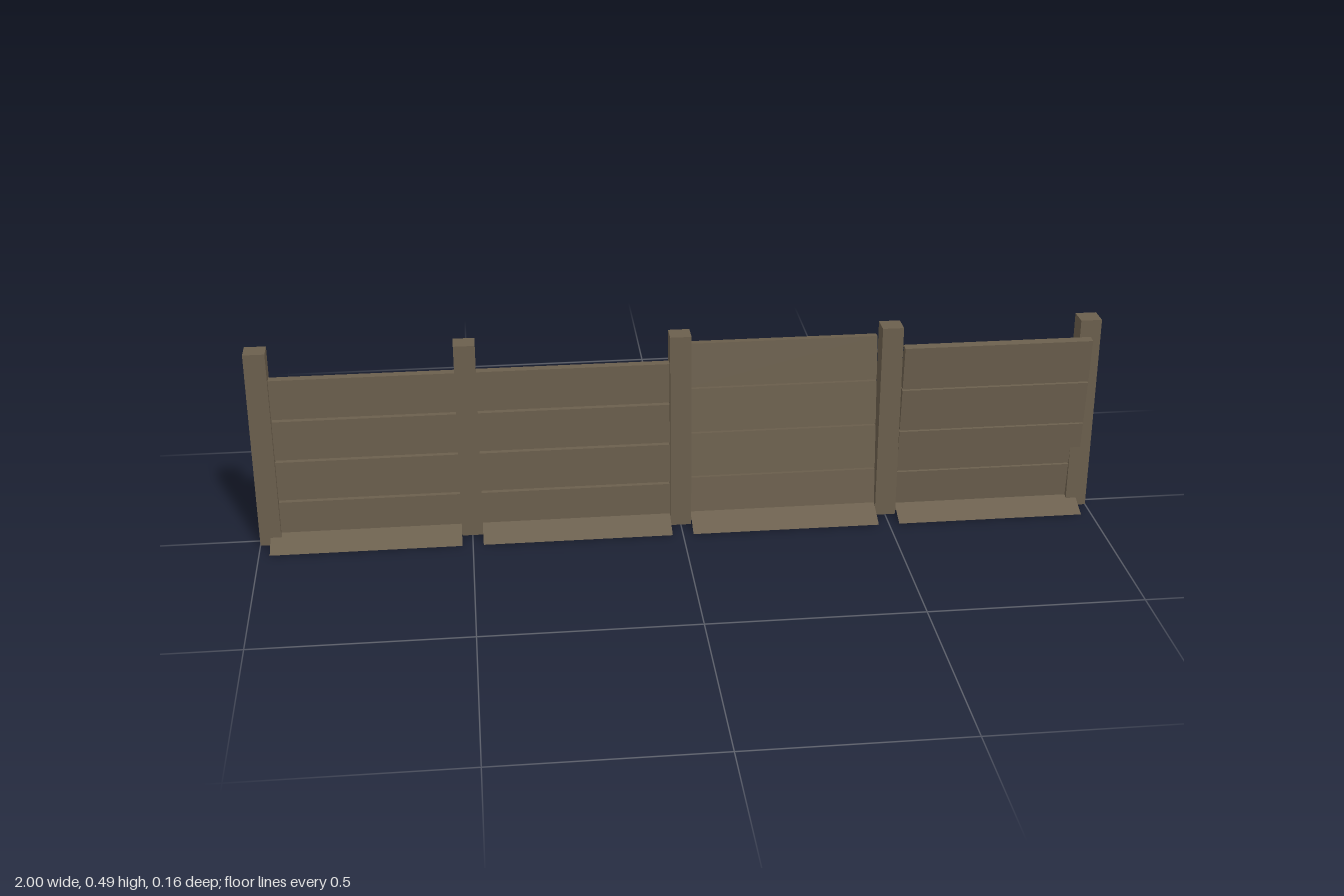
import * as THREE from 'three';

const wood = new THREE.MeshStandardMaterial({ color: 0x6b5f4d, side: THREE.DoubleSide });
wood.name = 'weathered wood';

const POST_HEIGHT = 0.488;
const BAY_LENGTH = 0.45;
const BOARD_THICKNESS = 0.0215;
const BOARDS_PER_BAY = 4;

function box(name, w, h, d, x, y, z) {
  const mesh = new THREE.Mesh(new THREE.BoxGeometry(w, h, d), wood);
  mesh.name = name;
  mesh.position.set(x, y, z);
  return mesh;
}

// Stack of horizontal boards, leaning about its foot
function boardPanel(x, pitch, gap, lean) {
  const panel = new THREE.Group();
  panel.name = 'boardPanel';
  for (let i = 0; i < BOARDS_PER_BAY; i++) {
    const h = pitch - gap;
    panel.add(box('board', BAY_LENGTH, h, BOARD_THICKNESS, 0, i * pitch + gap + h / 2, 0));
  }
  panel.position.x = x;
  panel.rotation.x = lean;
  return panel;
}

// Thin sloping sheet from the ridge under the boards down to the ground
function skirt(name, x, zEdge) {
  const ridgeY = 0.03, ridgeZ = -0.003, h = BAY_LENGTH / 2;
  const a = [-h, ridgeY, ridgeZ], b = [h, ridgeY, ridgeZ];
  const c = [h, 0, zEdge], d = [-h, 0, zEdge];
  const corners = zEdge > 0 ? [a, d, c, a, c, b] : [a, b, c, a, c, d];
  const geometry = new THREE.BufferGeometry();
  geometry.setAttribute('position', new THREE.Float32BufferAttribute(corners.flat(), 3));
  geometry.computeVertexNormals();
  const mesh = new THREE.Mesh(geometry, wood);
  mesh.name = name;
  mesh.position.x = x;
  return mesh;
}

export function createModel() {
  const fence = new THREE.Group();
  fence.name = 'fence';

  // Five square posts
  for (const x of [-0.975, -0.5, 0, 0.5, 0.975]) {
    fence.add(box('post', 0.05, POST_HEIGHT, 0.049, x, POST_HEIGHT / 2, 0));
  }

  // Two upright bays, one leaning back, one leaning forward
  const bays = [
    { x: -0.75, pitch: 0.104, gap: 0.006, lean: 0 },
    { x: -0.25, pitch: 0.104, gap: 0.006, lean: 0 },
    { x: 0.25, pitch: 0.112, gap: 0.004, lean: -0.097 },
    { x: 0.75, pitch: 0.112, gap: 0.004, lean: 0.087 },
  ];
  for (const { x, pitch, gap, lean } of bays) {
    fence.add(boardPanel(x, pitch, gap, lean));
    fence.add(skirt('frontSkirt', x, 0.077), skirt('backSkirt', x, -0.082));
  }
  return fence;
}
